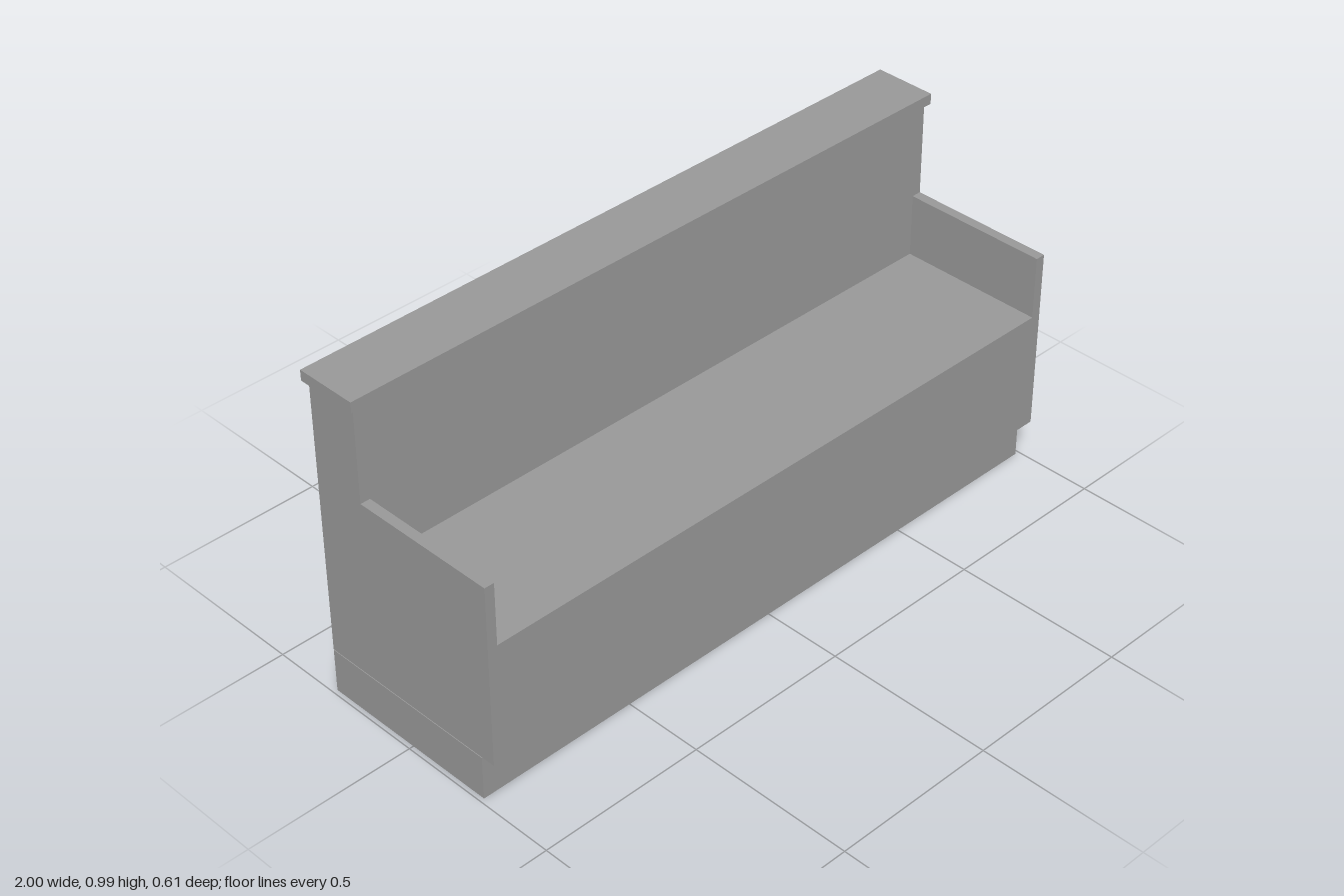
import * as THREE from 'three';

export function createModel() {
  const model = new THREE.Group();
  const grey = new THREE.MeshStandardMaterial({ color: 0x999999 });
  grey.name = 'grey';

  // Box given by its minimum and maximum on each axis
  function box(name, [x0, x1], [y0, y1], [z0, z1]) {
    const mesh = new THREE.Mesh(new THREE.BoxGeometry(x1 - x0, y1 - y0, z1 - z0), grey);
    mesh.position.set((x0 + x1) / 2, (y0 + y1) / 2, (z0 + z1) / 2);
    mesh.name = name;
    model.add(mesh);
  }

  const inner = 0.958, outer = 0.987;
  const back = -0.295, backFront = -0.134, front = 0.307;

  // Recessed plinth
  box('plinth', [-outer, outer], [0, 0.132], [back, 0.263]);

  // Bench seat between the side panels
  box('seat', [-inner, inner], [0.135, 0.495], [backFront, front]);

  // Tall backrest and its overhanging cap
  box('backrest', [-outer, outer], [0.135, 0.956], [back, backFront]);
  box('cap', [-1, 1], [0.959, 0.99], [-0.307, -0.123]);

  // Thin side panels forming the low arms
  box('leftArm', [inner, outer], [0.135, 0.682], [backFront, front]);
  box('rightArm', [-outer, -inner], [0.135, 0.682], [backFront, front]);

  return model;
}
